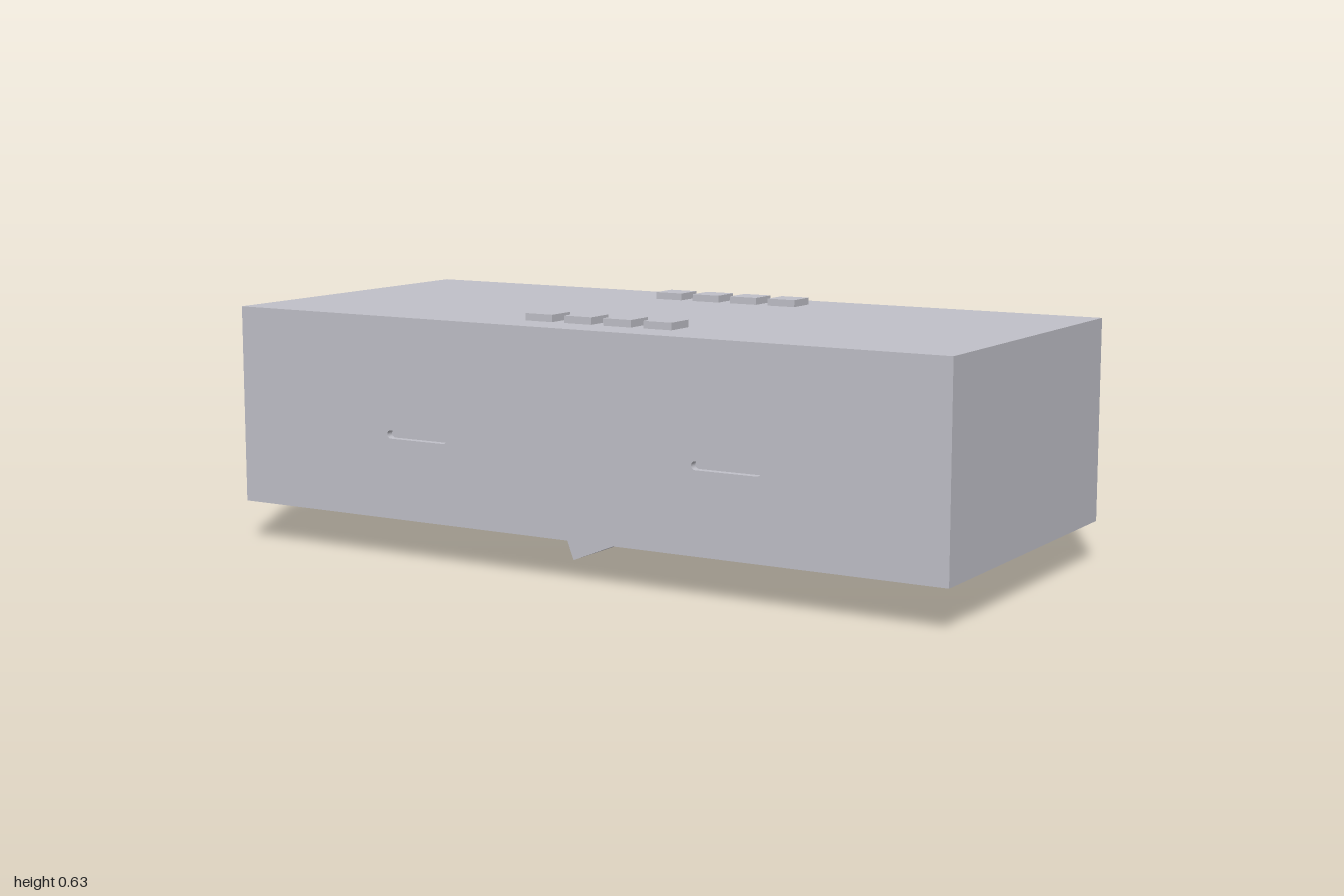
import * as THREE from 'three';

const casing = new THREE.MeshStandardMaterial({ color: 0xc0c0c8 });
casing.name = 'casingGrey';

const BOTTOM = 0.103, TOP = 0.613, BACK = -0.435, FRONT = 0.452;

function rect(path, x0, y0, x1, y1) {
  path.moveTo(x0, y0);
  path.lineTo(x1, y0);
  path.lineTo(x1, y1);
  path.lineTo(x0, y1);
  path.closePath();
  return path;
}

// rounded-end slot outline centred on (cx, cy)
function slot(path, cx, cy, w, h) {
  const r = h / 2, a = w / 2 - r;
  path.absarc(cx + a, cy, r, -Math.PI / 2, Math.PI / 2, false);
  path.absarc(cx - a, cy, r, Math.PI / 2, Math.PI * 1.5, false);
  path.closePath();
  return path;
}

const extrude = (shape, depth) =>
  new THREE.ExtrudeGeometry(shape, { depth, bevelEnabled: false, curveSegments: 8 });

export function createModel() {
  const model = new THREE.Group();
  model.name = 'connectorBlock';

  const add = (name, geometry, parent = model) => {
    const mesh = new THREE.Mesh(geometry, casing);
    mesh.name = name;
    parent.add(mesh);
    return mesh;
  };
  const addBox = (name, x0, x1, y0, y1, z0, z1, parent) =>
    add(name, new THREE.BoxGeometry(x1 - x0, y1 - y0, z1 - z0), parent)
      .position.set((x0 + x1) / 2, (y0 + y1) / 2, (z0 + z1) / 2);

  const body = new THREE.Group();
  body.name = 'body';
  model.add(body);

  // ring-shaped slice of the body, extruded along x, with a rectangular opening
  const addRing = (name, x0, x1, z0, z1, y0, y1) => {
    const shape = rect(new THREE.Shape(), -FRONT, BOTTOM, -BACK, TOP);
    shape.holes.push(rect(new THREE.Path(), -z1, y0, -z0, y1));
    const geometry = extrude(shape, x1 - x0);
    geometry.rotateY(Math.PI / 2);
    add(name, geometry, body).position.x = x0;
  };
  addRing('portWall', -1, -0.916, -0.234, 0.19, 0.333, 0.484);
  addRing('portCavity', -0.916, -0.6, -0.4, 0.4, 0.358, 0.52);

  // solid remainder, with a slotted front panel
  const slotDepth = 0.02;
  addBox('core', -0.6, 1, BOTTOM, TOP, BACK, FRONT - slotDepth, body);
  const panel = rect(new THREE.Shape(), -0.6, BOTTOM, 1, TOP);
  for (const x of [-0.443, 0.439]) panel.holes.push(slot(new THREE.Path(), x, 0.317, 0.183, 0.021));
  add('slottedFrontPanel', extrude(panel, slotDepth), body).position.z = FRONT - slotDepth;

  // locking tabs on the back
  for (const x of [-0.443, 0.439]) {
    const tab = extrude(slot(new THREE.Shape(), x, 0.313, 0.175, 0.013), 0.019);
    add('backTab', tab).position.z = -0.452;
  }

  // two rows of four raised pads on top
  for (const z of [-0.305, 0.308]) {
    for (let i = 0; i < 4; i++) {
      const x = -0.145 + i * 0.1125;
      addBox('topPad', x - 0.039, x + 0.039, TOP - 0.005, 0.631, z - 0.039, z + 0.039);
    }
  }

  // triangular foot under the body
  const wedge = new THREE.Shape();
  wedge.moveTo(-0.166, BOTTOM);
  wedge.lineTo(-0.126, 0);
  wedge.lineTo(0.13, BOTTOM);
  wedge.closePath();
  add('wedgeFoot', extrude(wedge, 0.44)).position.z = -0.21;

  return model;
}
